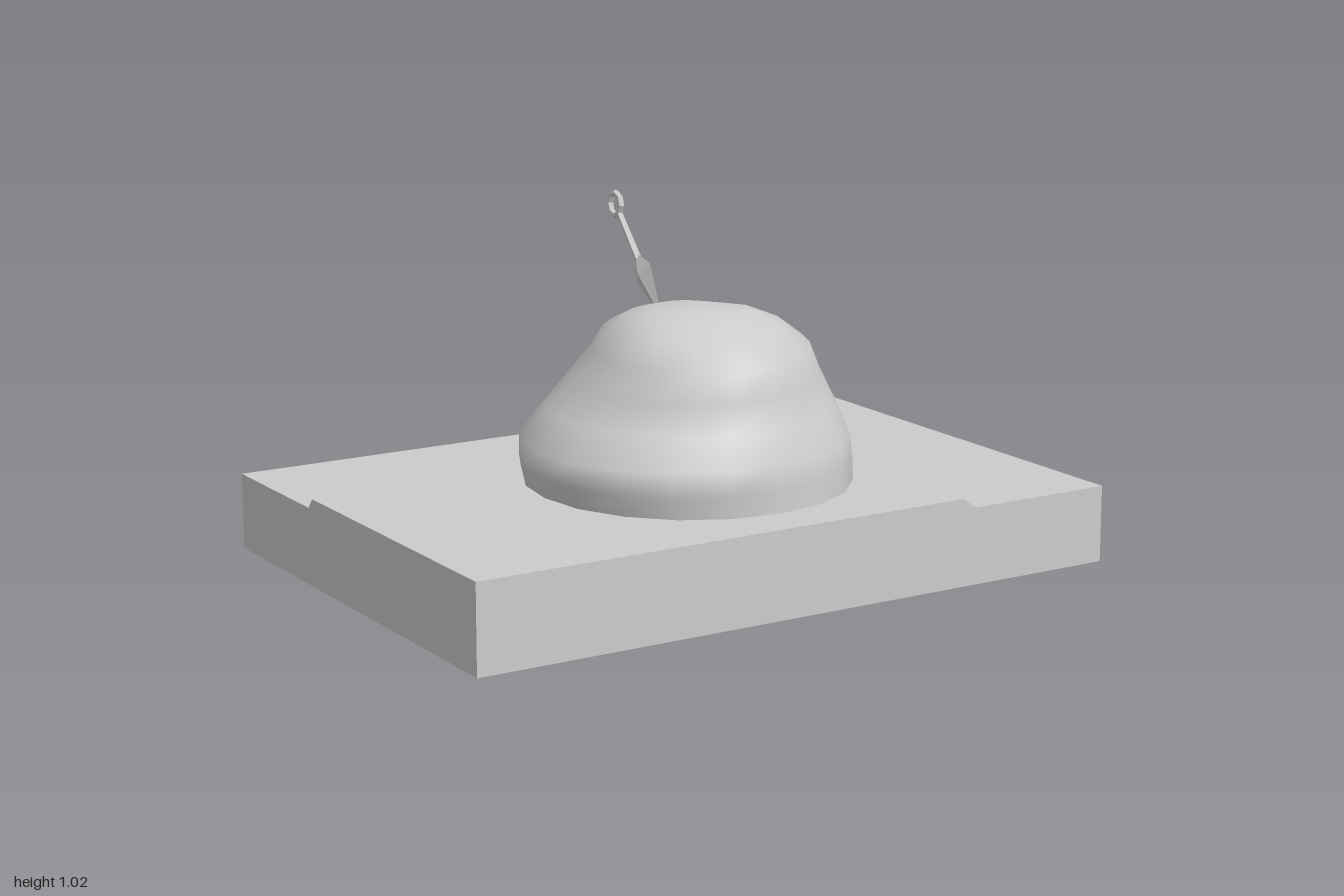
import * as THREE from 'three';

const material = (flat) => new THREE.MeshStandardMaterial({
  color: 0xcccccc, flatShading: flat, side: THREE.DoubleSide,
});

// Surface through rows of [x, y, z] points; closed joins each row end to its start
function loft(rows, closed = false) {
  const n = rows[0].length, index = [];
  for (let r = 0; r < rows.length - 1; r++) {
    for (let c = 0; c < (closed ? n : n - 1); c++) {
      const a = r * n + c, b = r * n + (c + 1) % n;
      index.push(a, a + n, b, b, a + n, b + n);
    }
  }
  const g = new THREE.BufferGeometry();
  g.setAttribute('position', new THREE.Float32BufferAttribute(rows.flat(2), 3));
  g.setIndex(index);
  g.computeVertexNormals();
  return g;
}

function part(name, geometry, flat = true) {
  const m = new THREE.Mesh(geometry, material(flat));
  m.name = name;
  return m;
}

const atHeight = (outline, y) => outline.map(([x, z]) => [x, y, z]);

// Hollow slab with a raised plate ending in a wandering bevelled step
function createSlab() {
  const slab = new THREE.Group();
  slab.name = 'slab';
  const d = 0.703; // half depth
  const plateEdge = [[-1, -0.235], [-0.6, -0.285], [-0.24, -0.46], [0.07, -0.48], [0.42, -0.4], [0.465, -0.36], [0.51, d]];
  const stepFoot = [[-1, -0.26], [-0.6, -0.31], [-0.25, -0.485], [0.07, -0.505], [0.44, -0.42], [0.5, -0.385], [0.555, d]];
  const rim = [[-1, -d], [-0.6, -d], [-0.25, -d], [0.07, -d], [0.6, -d], [1, -d], [1, d]];
  const toFront = (outline) => outline.map(([x]) => [x, d]);

  slab.add(part('groundAndBackWalls', loft([
    atHeight(rim, 0), atHeight(rim, 0.22), atHeight(stepFoot, 0.22),
    atHeight(plateEdge, 0.25), atHeight(toFront(plateEdge), 0.25),
  ])));

  const wallTop = [[1, 0.22, d], [0.555, 0.22, d], [0.51, 0.25, d], [-1, 0.25, d],
    [-1, 0.25, -0.235], [-1, 0.22, -0.26], [-1, 0.22, -d]];
  slab.add(part('frontWalls', loft([wallTop.map(([x, , z]) => [x, 0, z]), wallTop])));

  // Underside: flat ceiling, drooping lip beneath the step, slope out to the rim
  const ceilingEdge = [[-1, -0.11], [-0.6, -0.16], [-0.25, -0.32], [0.05, -0.34], [0.36, -0.27], [0.42, -0.22], [0.5, d]];
  const lip = [[-1, 0.07, -0.31], [-0.6, 0.12, -0.31], [-0.25, 0.12, -0.485], [0.07, 0.11, -0.505],
    [0.5, 0.14, -0.4], [0.62, 0.11, -0.33], [0.63, 0.18, d]];
  slab.add(part('underside', loft([
    atHeight(toFront(ceilingEdge), 0.225), atHeight(ceilingEdge, 0.225), lip, atHeight(rim, 0.004),
  ])));
  return slab;
}

// Lumpy mound from elliptical sections, each swollen or dented on its diagonals
// (bulge order: +x+z, -x+z, -x-z, +x-z)
function createMound() {
  const sections = [
    { y: 0.25, x: [-0.455, 0.465], z: [-0.385, 0.565], bulge: [0, 0.01, 0, -0.02] },
    { y: 0.31, x: [-0.47, 0.478], z: [-0.385, 0.563], bulge: [-0.02, 0.03, 0, -0.03] },
    { y: 0.38, x: [-0.473, 0.48], z: [-0.373, 0.56], bulge: [-0.04, 0.04, 0, -0.06] },
    { y: 0.46, x: [-0.395, 0.465], z: [-0.34, 0.505], bulge: [-0.09, 0.02, -0.01, -0.13] },
    { y: 0.54, x: [-0.325, 0.43], z: [-0.3, 0.47], bulge: [-0.13, 0.04, -0.02, -0.18] },
    { y: 0.62, x: [-0.27, 0.38], z: [-0.235, 0.455], bulge: [-0.13, 0.11, -0.02, -0.2] },
    { y: 0.68, x: [-0.23, 0.3], z: [-0.165, 0.36], bulge: [-0.1, 0.08, 0, -0.2] },
    { y: 0.72, x: [-0.17, 0.2], z: [-0.07, 0.25], bulge: [-0.05, 0.05, 0, -0.15] },
    { y: 0.737, x: [-0.1, 0.09], z: [0, 0.18], bulge: [0, 0, 0, 0] },
    { y: 0.74, x: [-0.005, -0.005], z: [0.09, 0.09], bulge: [0, 0, 0, 0] },
  ];
  const sides = 20;
  const rows = sections.map(({ y, x, z, bulge }) => Array.from({ length: sides }, (_, i) => {
    const a = i / sides * Math.PI * 2;
    const quadrant = Math.floor(i / (sides / 4));
    const swell = 1 + bulge[quadrant] * Math.abs(Math.sin(2 * a)) ** 0.8;
    return [
      (x[0] + x[1]) / 2 + (x[1] - x[0]) / 2 * Math.cos(a) * swell, y,
      (z[0] + z[1]) / 2 + (z[1] - z[0]) / 2 * Math.sin(a) * swell,
    ];
  }));
  return part('mound', loft(rows, true), false);
}

// Low trail running down the back of the mound onto the plate
function createTrail() {
  const path = [[0.6, -0.235], [0.52, -0.3], [0.42, -0.35], [0.33, -0.383], [0.262, -0.39], [0.254, -0.43]];
  const rows = path.map(([y, z]) => [
    [-0.09, y - 0.02, z + 0.025], [-0.07, y, z - 0.002],
    [-0.02, y, z - 0.002], [0, y - 0.02, z + 0.025],
  ]);
  return part('trail', loft(rows.reverse()), false);
}

// Slender spike with a ring handle, leaning backwards
function createSpike() {
  const spike = new THREE.Group();
  spike.name = 'spike';
  const profile = [[0, -0.16], [0.047, 0], [0.012, 0.055], [0, 0.055]];
  const blade = part('blade', new THREE.LatheGeometry(profile.map(([r, y]) => new THREE.Vector2(r, y)), 4));
  blade.scale.x = 0.42;
  const shaft = part('shaft', new THREE.CylinderGeometry(0.009, 0.011, 0.16, 6));
  shaft.position.y = 0.125;
  const ring = part('ring', new THREE.TorusGeometry(0.032, 0.009, 6, 8));
  ring.rotation.y = Math.PI / 2;
  ring.position.y = 0.239;
  spike.add(blade, shaft, ring);
  spike.position.set(-0.032, 0.807, -0.082);
  spike.rotation.set(-0.76, 0, -0.03);
  return spike;
}

export function createModel() {
  const model = new THREE.Group();
  model.name = 'moundWithSpike';
  model.add(createSlab(), createMound(), createTrail(), createSpike());
  return model;
}
